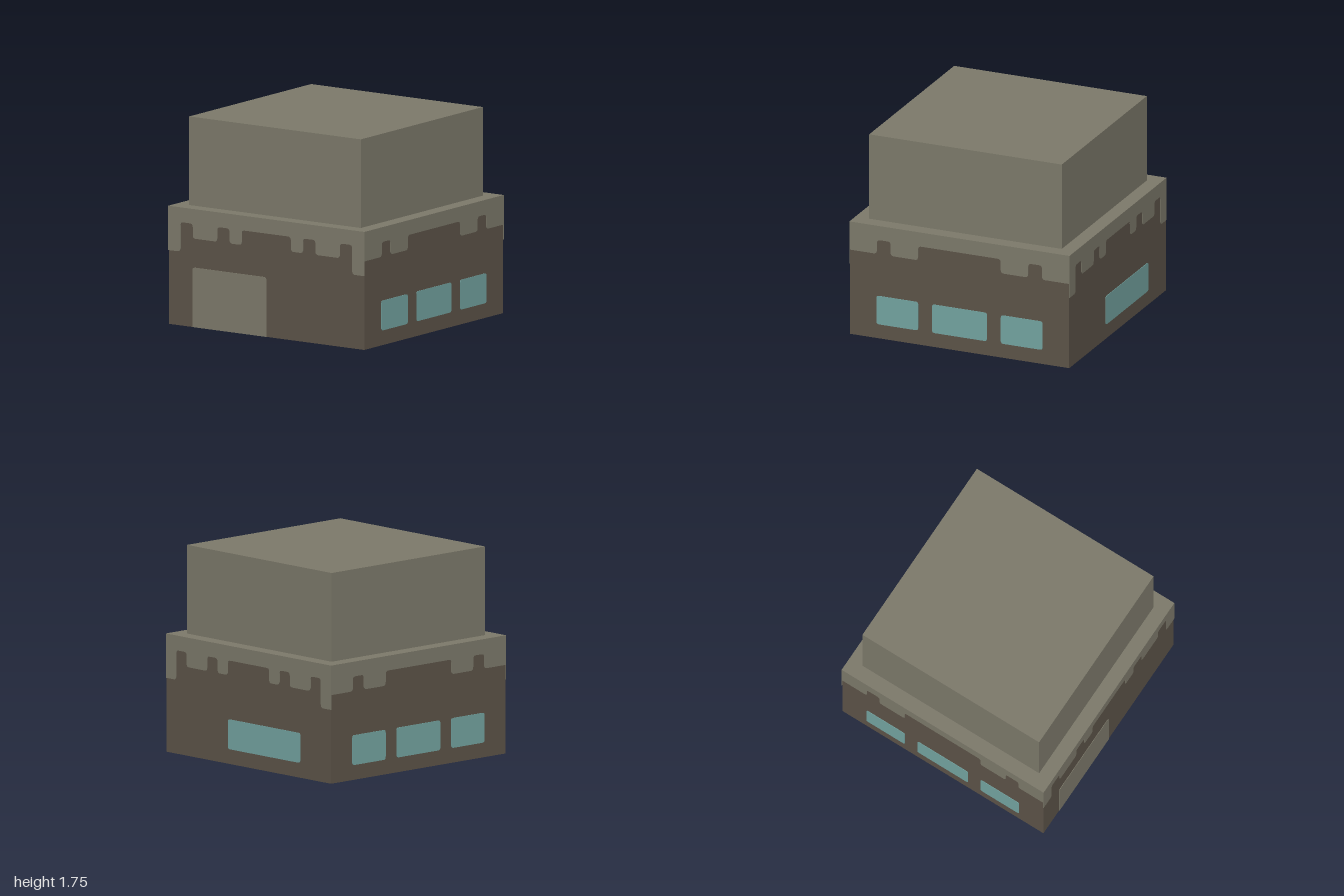
import * as THREE from 'three';

const T = 0.004; // thickness of the painted plates

// Closed shape from [x, y] points whose corners are rounded where radius(x, y) > 0
function roundedShape(points, radius) {
  const v = points.map(([x, y]) => new THREE.Vector2(x, y));
  const shape = new THREE.Shape();
  v.forEach((p, i) => {
    const prev = v[(i + v.length - 1) % v.length];
    const next = v[(i + 1) % v.length];
    const r = radius(p.x, p.y);
    const a = p.clone().add(prev.clone().sub(p).setLength(r));
    const b = p.clone().add(next.clone().sub(p).setLength(r));
    if (i === 0) shape.moveTo(a.x, a.y);
    else shape.lineTo(a.x, a.y);
    if (r > 0) shape.quadraticCurveTo(p.x, p.y, b.x, b.y);
  });
  shape.closePath();
  return shape;
}

// Ragged lower edge: steps are [outer x, y] from the corner to the middle, then mirrored
function trimShape(steps) {
  const half = [];
  steps.forEach(([x, y], i) => {
    half.push([x, y]);
    if (i + 1 < steps.length) half.push([steps[i + 1][0], y]);
  });
  const mirrored = half.map(([x, y]) => [-x, y]);
  const points = [[1, 1], [-1, 1], ...mirrored, ...half.reverse()];
  return roundedShape(points, (x) => (Math.abs(x) === 1 ? 0 : 0.03));
}

function panelShape(x0, x1, y0, y1, r) {
  return roundedShape([[x0, y0], [x1, y0], [x1, y1], [x0, y1]], (x, y) => (y === 0 ? 0 : r));
}

export function createModel() {
  const stone = new THREE.MeshStandardMaterial({ color: 0x7c796a });
  const brown = new THREE.MeshStandardMaterial({ color: 0x5c5348 });
  const glass = new THREE.MeshStandardMaterial({ color: 0x73a3a0 });
  stone.name = 'stone';
  brown.name = 'brown';
  glass.name = 'glass';

  const model = new THREE.Group();
  model.name = 'building';

  function box(name, size, y, material) {
    const mesh = new THREE.Mesh(new THREE.BoxGeometry(...size), material);
    mesh.name = name;
    mesh.position.y = y + size[1] / 2;
    model.add(mesh);
  }

  // Main volumes
  const w = 2 - 2 * T;
  box('lowerWalls', [w, 0.9, w], 0, brown);
  box('roofLedge', [w, 0.1, w], 0.9, stone);
  box('upperBlock', [1.75, 0.75, 1.75], 1, stone);

  // Thin plate on one side of the lower walls
  function plate(side, name, shape, material) {
    const geometry = new THREE.ExtrudeGeometry(shape, { depth: T, bevelEnabled: false, curveSegments: 5 });
    const mesh = new THREE.Mesh(geometry, material);
    mesh.name = name;
    mesh.position.z = 1 - T;
    side.add(mesh);
  }

  const endTrim = trimShape([[1, 0.625], [0.875, 0.875], [0.75, 0.75], [0.5, 0.875], [0.375, 0.75], [0.25, 0.875]]);
  const flankTrim = trimShape([[1, 0.75], [0.75, 0.875], [0.625, 0.75], [0.375, 0.875]]);

  // Four sides, each drawn facing +z and turned into place
  ['front', 'right', 'back', 'left'].forEach((name, i) => {
    const side = new THREE.Group();
    side.name = name + 'Side';
    side.rotation.y = i * Math.PI / 2;
    model.add(side);

    plate(side, name + 'Trim', i % 2 ? flankTrim : endTrim, stone);
    if (name === 'front') {
      plate(side, 'door', panelShape(-0.755, 0, 0, 0.505, 0.03), stone);
    } else if (name === 'back') {
      plate(side, 'backWindow', panelShape(-0.25, 0.625, 0.125, 0.378, 0.025), glass);
    } else {
      for (const [a, b] of [[-0.755, -0.375], [-0.25, 0.25], [0.375, 0.755]]) {
        plate(side, name + 'Window', panelShape(a, b, 0.125, 0.378, 0.025), glass);
      }
    }
  });

  return model;
}
